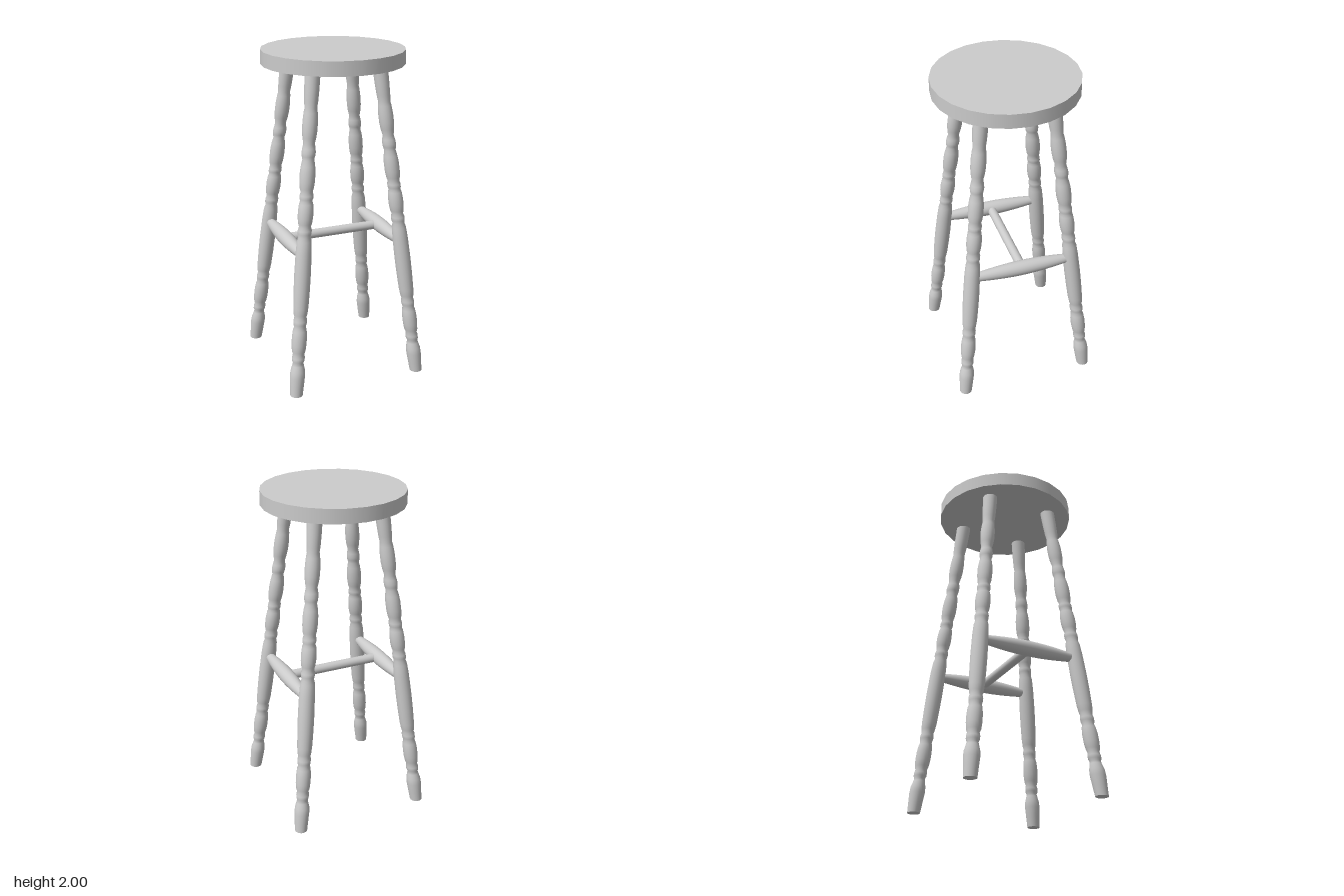
import * as THREE from 'three';

const material = new THREE.MeshStandardMaterial({ color: 0xcccccc });
const LEG_TOP = 1.92, FOOT = 0.402, HEAD = 0.206;

// Distance of a leg's axis from the centre planes at height y
const legOffset = (y) => FOOT + (HEAD - FOOT) * (y / LEG_TOP);

function addMesh(parent, name, geometry) {
  const mesh = new THREE.Mesh(geometry, material);
  mesh.name = name;
  parent.add(mesh);
  return mesh;
}

// Turned leg outline as [radius, height]
const legProfile = [
  [0.038, 0], [0.042, 0.06], [0.046, 0.12], [0.044, 0.155], [0.035, 0.19], [0.032, 0.205],
  [0.038, 0.22], [0.039, 0.24], [0.034, 0.26],
  [0.041, 0.28], [0.045, 0.32], [0.045, 0.37], [0.041, 0.41], [0.035, 0.43],
  [0.040, 0.45], [0.041, 0.47], [0.036, 0.49],
  [0.041, 0.51], [0.045, 0.55], [0.048, 0.65], [0.049, 0.75], [0.047, 0.88], [0.043, 0.95],
  [0.036, 0.975], [0.041, 0.995], [0.041, 1.015], [0.035, 1.035],
  [0.041, 1.055], [0.045, 1.09], [0.045, 1.13], [0.041, 1.17],
  [0.035, 1.185], [0.040, 1.2], [0.040, 1.22], [0.035, 1.238],
  [0.041, 1.26], [0.045, 1.3], [0.045, 1.35], [0.041, 1.39], [0.034, 1.425],
  [0.039, 1.445], [0.041, 1.465], [0.038, 1.49], [0.033, 1.515],
  [0.040, 1.55], [0.044, 1.59], [0.044, 1.64], [0.040, 1.69], [0.036, 1.715],
  [0.040, 1.75], [0.043, 1.82], [0.045, LEG_TOP],
].map(([r, y]) => new THREE.Vector2(r, y));

// Leg leaning outward, with its foot cut level with the floor
function makeLeg(sx, sz) {
  const leg = new THREE.Group();
  const lean = (HEAD - FOOT) / LEG_TOP;
  const shear = new THREE.Matrix4().set(
    1, sx * lean, 0, sx * FOOT,
    0, 1, 0, 0,
    0, sz * lean, 1, sz * FOOT,
    0, 0, 0, 1
  );
  addMesh(leg, 'turnedLeg', new THREE.LatheGeometry(legProfile, 20).applyMatrix4(shear));
  const sole = new THREE.CircleGeometry(legProfile[0].x, 20).rotateX(Math.PI / 2);
  addMesh(leg, 'footSole', sole.applyMatrix4(shear));
  return leg;
}

export function createModel() {
  const stool = new THREE.Group();
  stool.name = 'stool';

  // Round seat
  addMesh(stool, 'seat', new THREE.CylinderGeometry(0.425, 0.425, 0.085, 24)).position.y = 1.9575;

  // Four splayed legs
  for (const [side, sx] of [['left', 1], ['right', -1]]) {
    for (const [end, sz] of [['Front', 1], ['Back', -1]]) {
      const leg = makeLeg(sx, sz);
      leg.name = `${side}${end}Leg`;
      stool.add(leg);
    }
  }

  // Swelling side stretchers, front leg to back leg
  const railY = 0.857, railX = legOffset(railY);
  const spindle = [];
  for (let i = 0; i <= 16; i++) {
    const t = i / 8 - 1;
    spindle.push(new THREE.Vector2(0.024 + 0.022 * Math.cos(t * Math.PI / 2), t * railX));
  }
  for (const [side, s] of [['left', 1], ['right', -1]]) {
    const rail = new THREE.LatheGeometry(spindle, 20).rotateX(Math.PI / 2);
    addMesh(stool, `${side}Stretcher`, rail).position.set(s * railX, railY, 0);
  }

  // Plain cross stretcher joining the two
  const cross = new THREE.CylinderGeometry(0.028, 0.028, railX * 2, 20).rotateZ(Math.PI / 2);
  addMesh(stool, 'crossStretcher', cross).position.y = railY;

  return stool;
}
